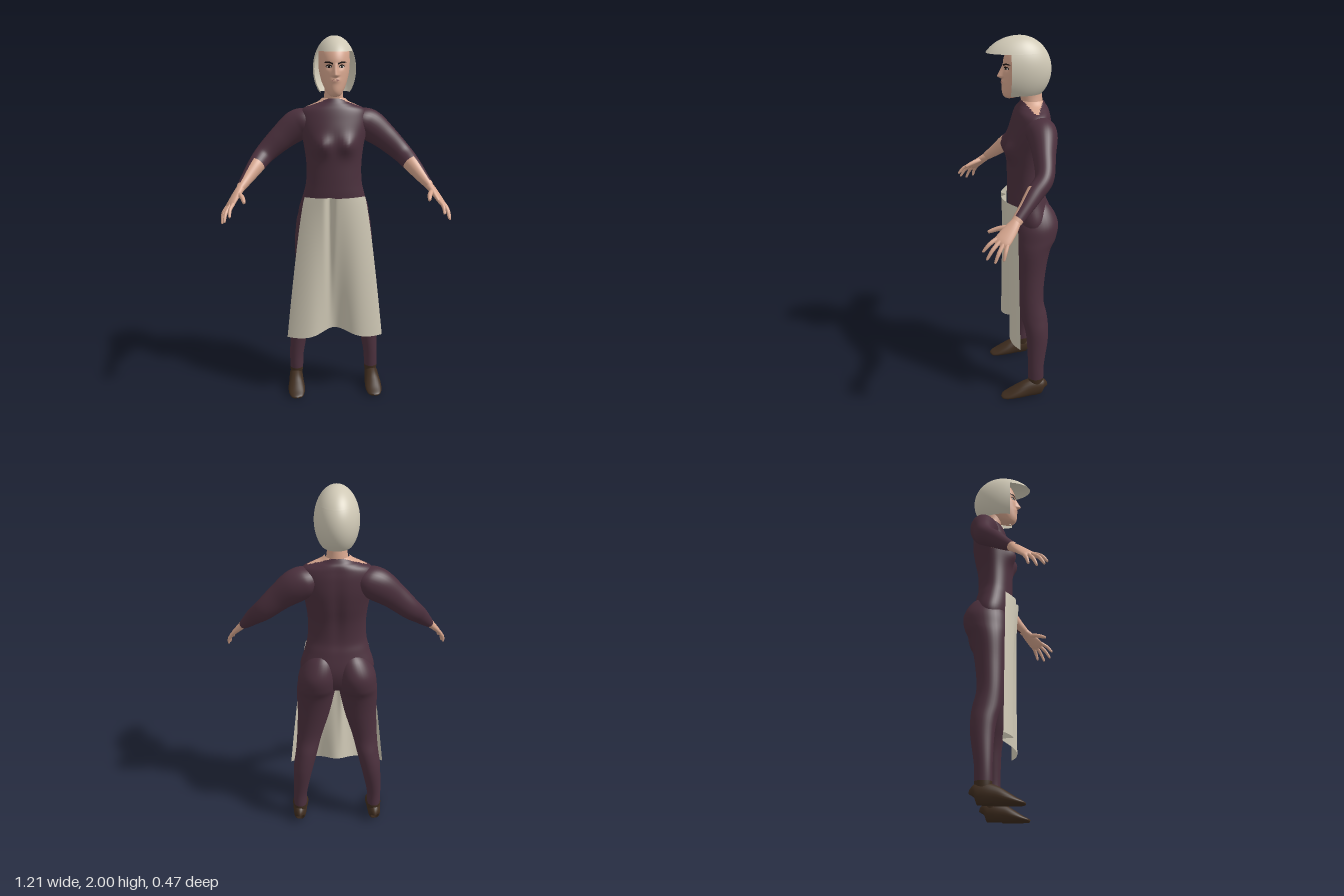
import * as THREE from 'three';

const mat = (name, color, side = THREE.FrontSide) => {
  const m = new THREE.MeshStandardMaterial({ color, side });
  m.name = name;
  return m;
};

// Grid surface from fn(u, v) -> Vector3; pick(point, u, v) chooses a material slot per quad.
function grid(rows, cols, closed, fn, pick = () => 0) {
  const n = closed ? cols : cols + 1;
  const pts = [], lists = [[], []];
  for (let i = 0; i <= rows; i++)
    for (let j = 0; j < n; j++) pts.push(fn(i / rows, j / cols));
  for (let i = 0; i < rows; i++)
    for (let j = 0; j < cols; j++) {
      const k = (j + 1) % n;
      const a = i * n + j, b = a + n, c = i * n + k, d = c + n;
      const mid = pts[a].clone().add(pts[d]).multiplyScalar(0.5);
      lists[pick(mid, (i + 0.5) / rows, (j + 0.5) / cols)].push(a, b, c, c, b, d);
    }
  const g = new THREE.BufferGeometry().setFromPoints(pts);
  g.setIndex([...lists[0], ...lists[1]]);
  g.addGroup(0, lists[0].length, 0);
  if (lists[1].length) g.addGroup(lists[0].length, lists[1].length, 1);
  g.computeVertexNormals();
  return g;
}

// Smooth tube through sections [x, y, z, radiusA, radiusB]; without ref the sections stay horizontal.
function tube(table, { rows = 32, cols = 24, ref = null, shape = (p) => p, pick } = {}) {
  const curve = new THREE.CubicInterpolant(table.map((_, i) => i), table.flat(), 5, new Float32Array(5));
  const at = (t) => Array.from(curve.evaluate(THREE.MathUtils.clamp(t, 0, 1) * (table.length - 1)));
  return grid(rows, cols, true, (u, v) => {
    const [x, y, z, ra, rb] = at(u);
    const T = new THREE.Vector3(0, 1, 0);
    if (ref) {
      const e = at(u + 0.02), s = at(u - 0.02);
      T.set(e[0] - s[0], e[1] - s[1], e[2] - s[2]).normalize();
    }
    const B = ref ? ref.clone().addScaledVector(T, -ref.dot(T)).normalize() : new THREE.Vector3(0, 0, 1);
    const N = T.clone().cross(B);
    const a = v * Math.PI * 2;
    return shape(new THREE.Vector3(x, y, z)
      .addScaledVector(N, Math.cos(a) * Math.max(ra, 0.001))
      .addScaledVector(B, Math.sin(a) * Math.max(rb, 0.001)));
  }, pick);
}

// Mirrored copy across x, with corner order flipped to match.
function mirror(g) {
  const m = g.clone().scale(-1, 1, 1);
  const idx = m.index;
  for (let i = 0; i < idx.count; i += 3) {
    const b = idx.getX(i + 1);
    idx.setX(i + 1, idx.getX(i + 2));
    idx.setX(i + 2, b);
  }
  m.computeVertexNormals();
  return m;
}

const bump = (d, w) => Math.exp(-(d / w) * (d / w));
// Vertical section from its half width, front and back depth.
const sec = (y, rx, zf, zb, x = 0) => [x, y, (zf + zb) / 2, rx, (zf - zb) / 2];

export function createModel() {
  const group = new THREE.Group();
  const suit = mat('plumCloth', 0x4b303d);
  const skin = mat('skin', 0xd8a78f);
  const cream = mat('creamCloth', 0xd0c9b6, THREE.DoubleSide);
  const leather = mat('brownLeather', 0x3f2d1f);
  const dark = mat('darkBrow', 0x1e1614);
  const white = mat('eyeWhite', 0xd9d0c8);
  const lip = mat('lips', 0xa8736a);

  const add = (name, g, m) => {
    const mesh = new THREE.Mesh(g, m);
    mesh.name = name;
    group.add(mesh);
    return mesh;
  };
  const pair = (name, g, m) => {
    add('left' + name, g, m);
    add('right' + name, mirror(g), m);
  };

  // Torso with bust, and bare notches at the collar sides
  add('torso', tube([
    sec(0.9, 0.02, -0.07, -0.11), sec(0.94, 0.14, -0.02, -0.17), sec(1.04, 0.196, 0.008, -0.2),
    sec(1.15, 0.17, 0.018, -0.185), sec(1.22, 0.154, 0.02, -0.17), sec(1.32, 0.151, 0.022, -0.175),
    sec(1.42, 0.163, 0.025, -0.195), sec(1.5, 0.18, 0.015, -0.205), sec(1.57, 0.185, -0.005, -0.203),
    sec(1.615, 0.17, -0.02, -0.195), sec(1.64, 0.12, -0.032, -0.188), sec(1.655, 0.085, -0.04, -0.178),
    sec(1.675, 0.06, -0.05, -0.168),
  ], {
    rows: 72, cols: 56,
    shape: (p) => {
      if (p.z > -0.08) p.z += 0.032 * bump(Math.abs(p.x) - 0.07, 0.045) * bump(p.y - 1.43, 0.05);
      if (p.z < -0.1) p.z += 0.012 * bump(p.x, 0.03) * bump(p.y - 1.4, 0.2);
      return p;
    },
    pick: (p) => (p.y > 1.628 && Math.abs(p.z + 0.108) < (p.y - 1.622) ? 1 : 0),
  }), [suit, skin]);

  // Legs with buttocks; the lowest part is the shoe cuff
  pair('Leg', tube([
    sec(0.05, 0.03, -0.07, -0.14, 0.22), sec(0.11, 0.037, -0.061, -0.148, 0.218), sec(0.2, 0.04, -0.06, -0.15, 0.216),
    sec(0.34, 0.051, -0.055, -0.172, 0.2), sec(0.42, 0.058, -0.045, -0.176, 0.188),
    sec(0.5, 0.062, -0.025, -0.17, 0.172), sec(0.6, 0.07, -0.015, -0.152, 0.155),
    sec(0.75, 0.088, -0.008, -0.166, 0.13), sec(0.88, 0.102, -0.003, -0.192, 0.117),
    sec(0.95, 0.104, 0, -0.225, 0.109), sec(1.03, 0.1, -0.005, -0.236, 0.1),
    sec(1.11, 0.07, -0.03, -0.2, 0.085), sec(1.16, 0.01, -0.09, -0.14, 0.08),
  ], { rows: 78, cols: 32, pick: (p) => (p.y < 0.115 ? 1 : 0) }), [suit, leather]);

  // Shoes, flat underneath
  pair('Shoe', tube([
    [0.222, 0.045, -0.15, 0.004, 0.01], [0.222, 0.05, -0.143, 0.03, 0.046], [0.222, 0.055, -0.105, 0.038, 0.056],
    [0.222, 0.046, -0.05, 0.042, 0.05], [0.222, 0.032, 0, 0.047, 0.036], [0.222, 0.018, 0.05, 0.044, 0.02],
    [0.221, 0.01, 0.085, 0.03, 0.01], [0.22, 0.007, 0.096, 0.004, 0.004],
  ], {
    ref: new THREE.Vector3(0, 1, 0),
    shape: (p) => { p.y = Math.max(p.y, p.z < -0.05 ? 0.006 : 0); return p; },
  }), leather);

  // Arms: sleeve covers the outer forearm, the inner forearm is bare
  pair('Arm', tube([
    [0.08, 1.565, -0.115, 0.03, 0.04], [0.14, 1.552, -0.12, 0.07, 0.075], [0.2, 1.525, -0.125, 0.085, 0.074],
    [0.285, 1.46, -0.115, 0.07, 0.057], [0.375, 1.377, -0.098, 0.055, 0.047], [0.425, 1.32, -0.04, 0.046, 0.044],
    [0.47, 1.262, 0.015, 0.034, 0.034], [0.507, 1.215, 0.064, 0.022, 0.026],
  ], {
    rows: 56, cols: 32, ref: new THREE.Vector3(0, 0, 1),
    pick: (p, u, v) => (u > 0.97 || (u > 0.69 && Math.cos(v * Math.PI * 2 - 0.8) > 0.1) ? 1 : 0),
  }), [suit, skin]);

  // Hands: palm, then tapered fingers and thumb
  const across = new THREE.Vector3(-0.5, 0.25, 0.8);
  pair('Palm', tube([
    [0.495, 1.23, 0.05, 0.018, 0.02], [0.507, 1.213, 0.066, 0.021, 0.026], [0.528, 1.185, 0.095, 0.018, 0.035],
    [0.556, 1.143, 0.138, 0.013, 0.041], [0.567, 1.128, 0.153, 0.002, 0.028],
  ], { rows: 16, cols: 20, ref: across }), skin);
  const digits = {
    IndexFinger: [[0.539, 1.153, 0.162], [0.553, 1.132, 0.2], [0.555, 1.1, 0.228]],
    MiddleFinger: [[0.553, 1.146, 0.148], [0.576, 1.112, 0.188], [0.583, 1.072, 0.214]],
    RingFinger: [[0.564, 1.138, 0.133], [0.589, 1.1, 0.16], [0.597, 1.058, 0.178]],
    LittleFinger: [[0.573, 1.132, 0.117], [0.594, 1.1, 0.13], [0.601, 1.067, 0.138]],
    Thumb: [[0.515, 1.195, 0.095], [0.493, 1.184, 0.143], [0.482, 1.166, 0.19]],
  };
  for (const [name, [a, b, c]] of Object.entries(digits)) {
    const end = c.map((v, i) => v + (c[i] - b[i]) * 0.1);
    const r = name === 'Thumb' ? 0.014 : 0.0105;
    pair(name, tube([[...a, r, r], [...b, r * 0.9, r * 0.9], [...c, r * 0.6, r * 0.6], [...end, 0.001, 0.001]],
      { rows: 12, cols: 10, ref: across }), skin);
  }

  // Neck
  add('neck', tube([sec(1.6, 0.066, -0.05, -0.165), sec(1.66, 0.056, -0.052, -0.162), sec(1.7, 0.05, -0.045, -0.16),
    sec(1.76, 0.05, -0.03, -0.155)], { rows: 12 }), skin);

  // Head with nose, eye sockets and mouth shaped by a rule
  const head = add('head', tube([
    sec(1.686, 0.006, 0.015, 0.005), sec(1.694, 0.028, 0.035, -0.03), sec(1.715, 0.045, 0.047, -0.09),
    sec(1.75, 0.062, 0.049, -0.14), sec(1.79, 0.074, 0.047, -0.165), sec(1.83, 0.081, 0.044, -0.175),
    sec(1.88, 0.083, 0.04, -0.175), sec(1.925, 0.078, 0.022, -0.165), sec(1.965, 0.045, -0.01, -0.11),
    sec(1.98, 0.003, -0.05, -0.06),
  ], {
    rows: 96, cols: 96,
    shape: (p) => {
      if (p.z < -0.04) return p;
      const t = THREE.MathUtils.clamp((1.862 - p.y) / 0.06, 0, 1) * THREE.MathUtils.smoothstep(p.y, 1.784, 1.8);
      p.z += 0.027 * t * bump(p.x, 0.007 + 0.007 * t);
      p.z -= 0.008 * bump(Math.abs(p.x) - 0.034, 0.018) * bump(p.y - 1.842, 0.014);
      p.z += 0.005 * bump(p.x, 0.024) * bump(p.y - 1.772, 0.012);
      return p;
    },
  }), skin);

  // Painted face details laid on the head surface
  const ray = new THREE.Raycaster();
  head.updateMatrixWorld();
  const decal = (points, lift) => {
    const g = new THREE.ShapeGeometry(new THREE.Shape(points.map(([x, y]) => new THREE.Vector2(x, y))));
    const pos = g.attributes.position;
    for (let i = 0; i < pos.count; i++) {
      ray.set(new THREE.Vector3(pos.getX(i), pos.getY(i), 1), new THREE.Vector3(0, 0, -1));
      const hit = ray.intersectObject(head)[0];
      pos.setZ(i, (hit ? hit.point.z : 0.03) + lift);
    }
    g.computeVertexNormals();
    return g;
  };
  const oval = (x, y, rx, ry) => Array.from({ length: 14 }, (_, i) => {
    const a = (i / 14) * Math.PI * 2;
    return [x + rx * Math.cos(a), y + ry * Math.sin(a)];
  });
  pair('EyeLine', decal(oval(0.034, 1.844, 0.016, 0.0085), 0.003), dark);
  pair('EyeWhite', decal(oval(0.034, 1.842, 0.013, 0.005), 0.0045), white);
  pair('Iris', decal(oval(0.033, 1.842, 0.0055, 0.0055), 0.006), dark);
  pair('Eyebrow', decal([[0.013, 1.853], [0.035, 1.861], [0.062, 1.862], [0.048, 1.869], [0.032, 1.868], [0.013, 1.861]], 0.003), dark);
  add('mouth', decal([[-0.022, 1.773], [-0.01, 1.768], [0.01, 1.768], [0.022, 1.773], [0.008, 1.779], [-0.008, 1.779]], 0.003), lip);

  // Helmet: full crown with brim, then a lower shell open at the face
  const shell = (theta, a) => {
    const f = Math.sin(theta), s = Math.sin(a);
    return new THREE.Vector3(0.113 * f * Math.cos(a), 1.83 + 0.17 * Math.cos(theta), -0.04 + (s > 0 ? 0.2 : 0.165) * f * s);
  };
  const brim = Math.acos(0.09 / 0.17), hem = Math.acos(-0.12 / 0.17);
  add('helmetCrown', grid(20, 56, true, (u, v) => shell(brim * (1 - u) + 0.002, v * Math.PI * 2)), cream);
  add('helmetShell', grid(24, 40, false, (u, v) => {
    const theta = THREE.MathUtils.lerp(hem, brim, u);
    const a0 = Math.asin(0.055 / (0.2 * Math.sin(theta)));
    return shell(theta, Math.PI - a0 + v * (Math.PI + 2 * a0));
  }), cream);

  // Apron: flares downward, falling back between the legs
  add('apron', grid(40, 64, false, (u, v) => {
    const d = 1 - u, s = 1 - 2 * v;
    const x = s * (0.165 + 0.105 * Math.pow(d, 0.8));
    const top = 0.056 - 0.06 * s * s - 0.028 * bump(x + 0.03, 0.02);
    const low = 0.042 - 0.047 * s ** 4 - 0.075 * bump(x, 0.085);
    const y = 1.15 - 0.81 * d + 0.04 * d * d * bump(x, 0.11);
    return new THREE.Vector3(x, y, THREE.MathUtils.lerp(top, low, d));
  }), cream);

  return group;
}
